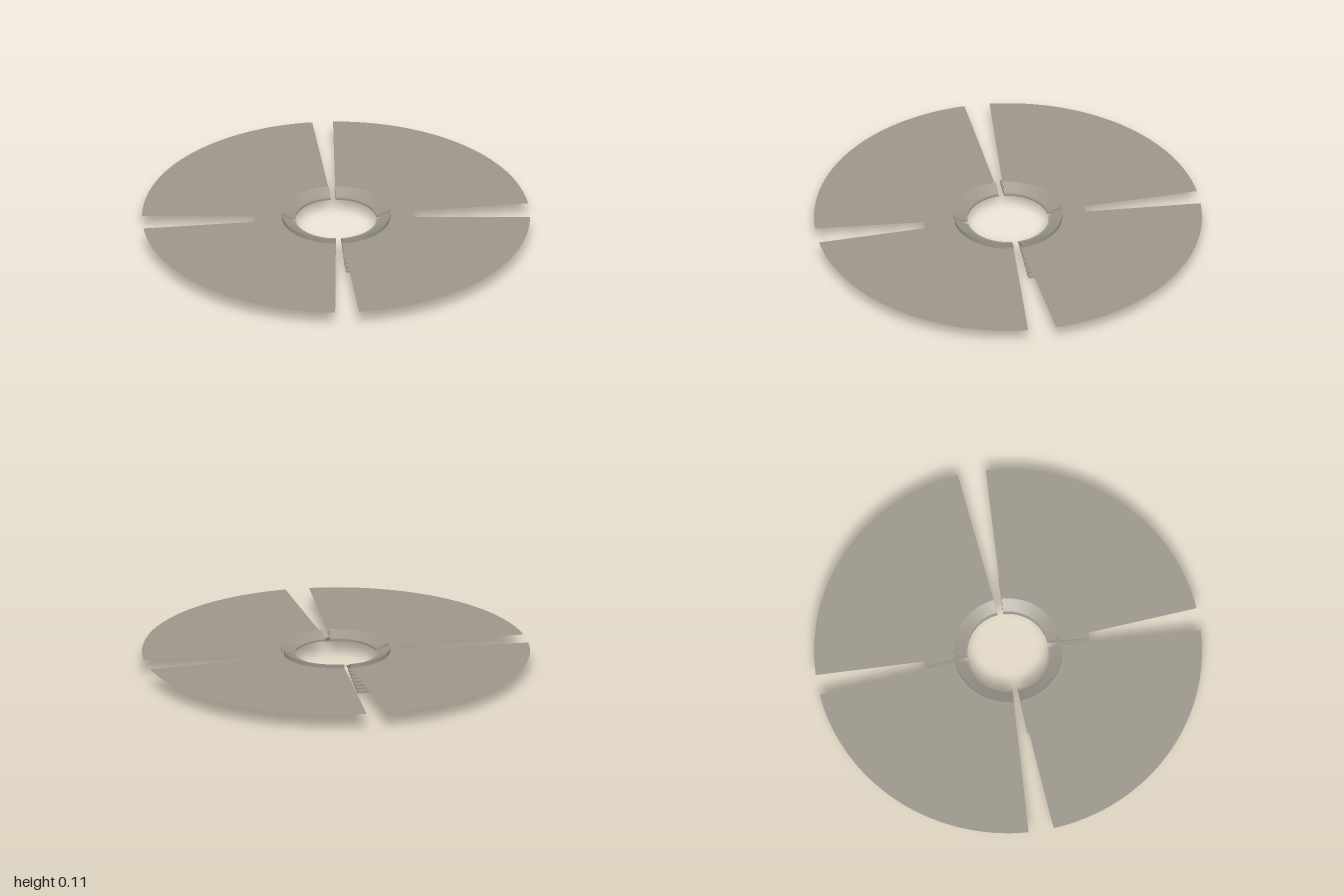
import * as THREE from 'three';
import { toCreasedNormals } from 'three/addons/utils/BufferGeometryUtils.js';

const rad = THREE.MathUtils.degToRad;

export function createModel() {
  const model = new THREE.Group();
  const stone = new THREE.MeshStandardMaterial({ color: 0x9b958a, side: THREE.DoubleSide });
  stone.name = 'warmGrey';

  // Closed counter-clockwise section swept from angle a to b (degrees), with end caps
  function sweep(name, section, a, b) {
    const part = new THREE.Group();
    part.name = name;
    const points = [...section, section[0]].map(([r, y]) => new THREE.Vector2(r, y));
    const lathe = new THREE.LatheGeometry(points, 24, rad(a), rad(b - a));
    const body = new THREE.Mesh(toCreasedNormals(lathe, rad(25)), stone);
    body.name = name + 'Body';
    part.add(body);
    const capShape = new THREE.Shape(points.slice(0, -1));
    for (const angle of [a, b]) {
      const cap = new THREE.Mesh(new THREE.ShapeGeometry(capShape), stone);
      cap.rotation.y = rad(angle - 90);
      cap.name = name + 'End';
      part.add(cap);
    }
    return part;
  }

  // Collar: funnel-shaped mouth with an upright outer wall
  const collar = [[0.21, 0.075], [0.225, 0.079], [0.28, 0.088], [0.28, 0.11]];

  // Terraced skirt flaring downwards, stepped outside and inside
  const steps = 8, rise = 0.01, width = 0.034;
  const outer = [], inner = [];
  for (let i = 0; i < steps; i++) {
    const r = 0.433 - (0.189 * i) / (steps - 1);
    outer.push([r, i * rise], [r, (i + 1) * rise]);
    inner.push([r - width, i * rise], [r - width, (i + 1) * rise]);
  }
  const skirt = [...outer, ...inner.reverse()];

  // Four sectors; angles run from +z towards +x
  const sectors = [[3.5, 86.5], [94.9, 177.5], [183.7, 266], [273.5, 356.4]];
  sectors.forEach(([a, b], i) => {
    const sector = new THREE.Group();
    sector.name = 'sector' + (i + 1);

    // Paper-thin flat plate
    const rim = [new THREE.Vector2(1, 0.087), new THREE.Vector2(0.26, 0.087)];
    const plate = new THREE.Mesh(new THREE.LatheGeometry(rim, 32, rad(a), rad(b - a)), stone);
    plate.name = 'plate';

    sector.add(plate, sweep('collar', collar, a, b), sweep('skirt', skirt, a, b));
    model.add(sector);
  });

  return model;
}
